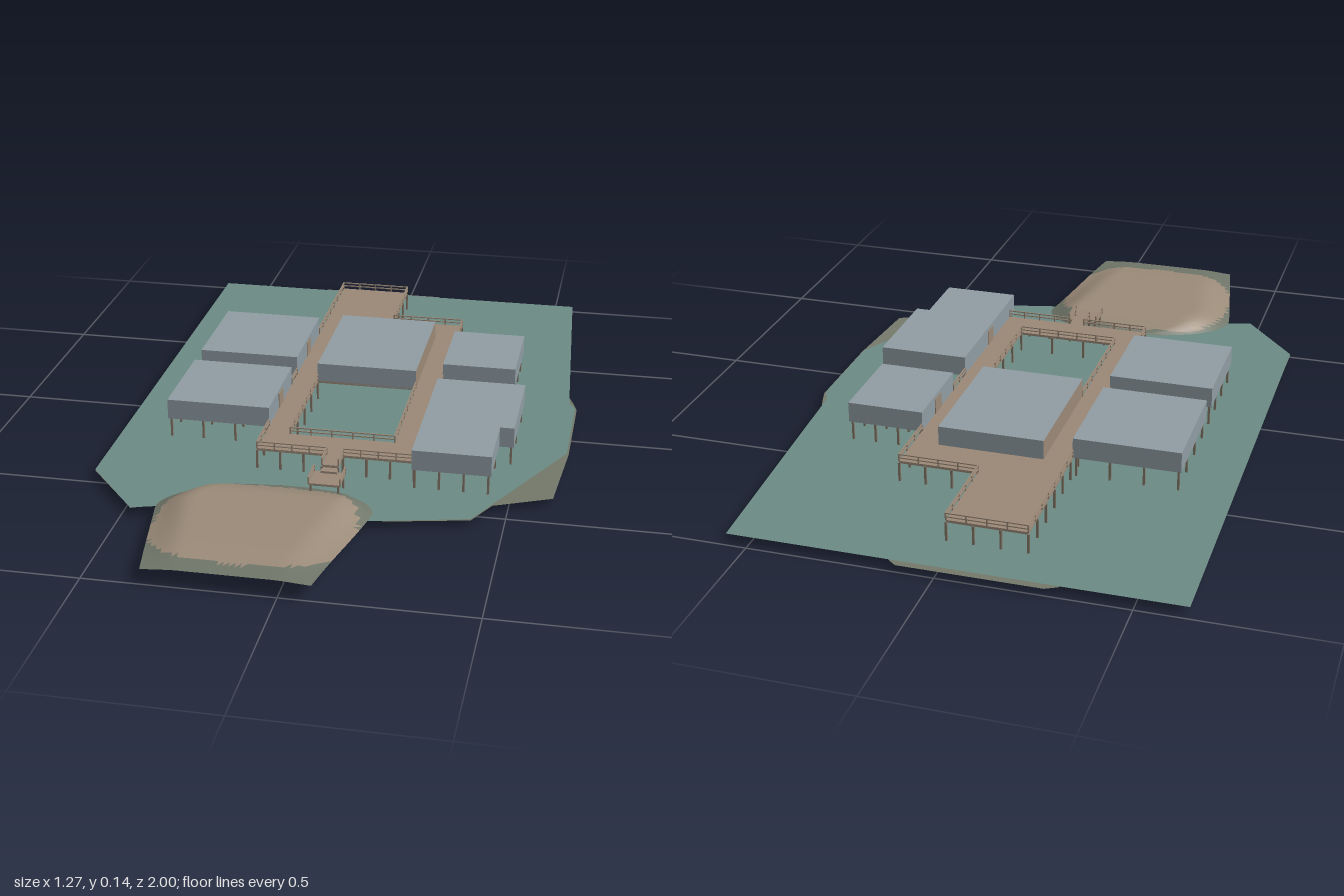
import * as THREE from 'three';
import { mergeGeometries } from 'three/addons/utils/BufferGeometryUtils.js';

const DECK = 0.083, ROOF = 0.138;

const mat = (name, color, extra = {}) => {
  const m = new THREE.MeshStandardMaterial({ color, ...extra });
  m.name = name;
  return m;
};

const outline = pts => new THREE.Shape(pts.map(([x, z]) => new THREE.Vector2(x, z)));

// box given by its min and max corners
const boxGeo = (x0, x1, y0, y1, z0, z1) =>
  new THREE.BoxGeometry(x1 - x0, y1 - y0, z1 - z0)
    .translate((x0 + x1) / 2, (y0 + y1) / 2, (z0 + z1) / 2);

// evenly spaced points along a polyline of [x, z]
function spaced(path, step) {
  const out = [path[0]];
  for (let i = 1; i < path.length; i++) {
    const [ax, az] = path[i - 1], [bx, bz] = path[i];
    const n = Math.max(1, Math.round(Math.hypot(bx - ax, bz - az) / step));
    for (let k = 1; k <= n; k++) out.push([ax + (bx - ax) * k / n, az + (bz - az) * k / n]);
  }
  return out;
}

const post = (x, z, y0, y1, r) => boxGeo(x - r, x + r, y0, y1, z - r, z + r);

// posts and two rails following a path at floor height y
function railing(path, y) {
  const parts = spaced(path, 0.055).map(([x, z]) => post(x, z, y, y + 0.021, 0.002));
  for (let i = 1; i < path.length; i++) {
    const [ax, az] = path[i - 1], [bx, bz] = path[i];
    for (const h of [0.01, 0.02]) {
      parts.push(boxGeo(Math.min(ax, bx) - 0.002, Math.max(ax, bx) + 0.002, y + h - 0.0015, y + h + 0.0015,
        Math.min(az, bz) - 0.002, Math.max(az, bz) + 0.002));
    }
  }
  return parts;
}

export function createModel() {
  const root = new THREE.Group();
  const both = { side: THREE.DoubleSide };
  const water = mat('water', 0x6d8c86, both);
  const seabedMat = mat('silt', 0x757a6c, { ...both, flatShading: true });
  const sand = mat('sand', 0x9c8c7a, both);
  const scrub = mat('scrub', 0x71776a, both);
  const deckWood = mat('deckWood', 0x9c8a78);
  const postWood = mat('postWood', 0x85786a);
  const cladding = mat('greyCladding', 0x919ea5);
  const add = (name, geo, material, parent = root) => {
    const m = new THREE.Mesh(geo, material);
    m.name = name;
    parent.add(m);
    return m;
  };

  // water sheet, cut along the island shore
  add('water', new THREE.ShapeGeometry(outline([
    [-0.635, -0.985], [0.56, -0.985], [0.61, -0.21], [0.63, -0.17], [0.63, 0.13], [0.46, 0.47], [0.415, 0.56],
    [0.14, 0.625], [0.13, 0.58], [0.1, 0.53], [-0.05, 0.5], [-0.22, 0.51], [-0.35, 0.57], [-0.41, 0.645],
    [-0.475, 0.665], [-0.635, 0.47]])).rotateX(Math.PI / 2).translate(0, 0.024, 0), water);

  // shallow dished seabed: rings shrinking to a centre
  const rim = [[-0.31, -0.985], [-0.28, -1], [0.1, -1], [0.12, -0.985], [0.495, -0.56], [0.62, -0.22], [0.635, -0.17],
    [0.635, 0.13], [0.615, 0.4], [0.46, 0.47], [0.415, 0.56], [0.19, 0.61], [0.12, 0.5], [0.05, 0.45], [-0.15, 0.45],
    [-0.3, 0.5], [-0.41, 0.63], [-0.475, 0.66], [-0.635, 0.47], [-0.625, -0.59]];
  const bed = [], bedIndex = [], rings = [1, 0.85, 0.6, 0.3, 0];
  for (const t of rings) for (const [x, z] of rim) {
    const dip = 0.012 * (1 - t * t);
    bed.push(x * t, 0.02 - dip, -0.2 + (z + 0.2) * t);
  }
  for (let r = 0; r < rings.length - 1; r++) for (let i = 0; i < rim.length; i++) {
    const j = (i + 1) % rim.length, a = r * rim.length, b = a + rim.length;
    bedIndex.push(a + i, b + i, a + j);
    if (r < rings.length - 2) bedIndex.push(a + j, b + i, b + j);
  }
  const bedGeo = new THREE.BufferGeometry();
  bedGeo.setAttribute('position', new THREE.Float32BufferAttribute(bed, 3));
  bedGeo.setIndex(bedIndex);
  bedGeo.computeVertexNormals();
  add('seabed', bedGeo, seabedMat);

  // island: height-mapped strip grid, sand in the middle and scrub round it
  const rows = 28, cols = 30, zBack = 0.47;
  const side = (z, zMid, wide, front) => z > zMid
    ? wide + (front - wide) * (z - zMid) / (1 - zMid)
    : -0.06 + (wide + 0.06) * Math.sqrt(Math.max(0.02, 1 - ((zMid - z) / (zMid - zBack)) ** 2));
  const pos = [], sandIndex = [], scrubIndex = [];
  for (let r = 0; r <= rows; r++) for (let c = 0; c <= cols; c++) {
    const z = zBack + (1 - zBack) * r / rows;
    const L = side(z, 0.65, -0.41, -0.345), R = side(z, 0.59, 0.16, 0.085);
    const x = L + (R - L) * c / cols;
    const edge = 0.023 + 0.02 * THREE.MathUtils.smoothstep(z, 0.6, 1);
    const inland = THREE.MathUtils.smoothstep(Math.min(x - L, R - x, (z - zBack) * 0.8), -0.02, 0.1);
    const fall = 0.013 * THREE.MathUtils.smoothstep(z, 0.85, 1);
    pos.push(x, edge + (0.062 - fall - edge) * inland, z);
  }
  const isSand = ids => {
    const x = ids.reduce((s, i) => s + pos[i * 3], 0) / 3, z = ids.reduce((s, i) => s + pos[i * 3 + 2], 0) / 3;
    return Math.abs((x + 0.125) / 0.262) ** 2.8 + Math.abs((z - 0.725) / 0.225) ** 2.8 < 1;
  };
  for (let r = 0; r < rows; r++) for (let c = 0; c < cols; c++) {
    const a = r * (cols + 1) + c, b = a + cols + 1;
    for (const tri of [[a, b, a + 1], [a + 1, b, b + 1]]) (isSand(tri) ? sandIndex : scrubIndex).push(...tri);
  }
  const island = new THREE.BufferGeometry();
  island.setAttribute('position', new THREE.Float32BufferAttribute(pos, 3));
  island.setIndex([...sandIndex, ...scrubIndex]);
  island.addGroup(0, sandIndex.length, 0);
  island.addGroup(sandIndex.length, scrubIndex.length, 1);
  island.computeVertexNormals();
  add('island', island, [sand, scrub]);

  // boardwalk round an open court, with a pier at the back
  const edge = [[-0.2, -0.86], [0.015, -0.86], [0.015, -0.605], [0.235, -0.605], [0.235, 0.375], [0.04, 0.375],
    [0.04, 0.44], [-0.005, 0.44], [-0.005, 0.375], [-0.2, 0.375]];
  const court = [[-0.13, -0.1], [-0.13, 0.27], [0.165, 0.27], [0.165, -0.1]];
  const deck = outline(edge);
  deck.holes.push(outline(court));
  add('boardwalk', new THREE.ExtrudeGeometry(deck, { depth: 0.007, bevelEnabled: false })
    .rotateX(Math.PI / 2).translate(0, DECK, 0), deckWood);

  // steps down to the sand
  add('landingSteps', mergeGeometries([
    boxGeo(-0.005, 0.04, 0.068, 0.074, 0.435, 0.46),
    boxGeo(-0.025, 0.06, 0.06, 0.066, 0.445, 0.52)]), deckWood);

  // railings, left open at buildings and steps
  const runs = [
    [[-0.2, -0.455], [-0.2, -0.86], [0.015, -0.86], [0.015, -0.605], [0.235, -0.605], [0.235, -0.425]],
    [[0.235, -0.165], [0.235, -0.055]], [[0.235, 0.375], [0.04, 0.375], [0.04, 0.44]],
    [[-0.005, 0.44], [-0.005, 0.375], [-0.2, 0.375], [-0.2, 0.23]], [[-0.2, -0.06], [-0.2, -0.135]], court];
  add('railings', mergeGeometries([
    ...runs.flatMap(p => railing(p, DECK)),
    ...[-0.025, 0.06].flatMap(x => railing([[x, 0.445], [x, 0.52]], 0.064))]), deckWood);

  // legs under the boardwalk and landing
  const legs = [...spaced([...edge, edge[0]], 0.075), ...spaced(court, 0.09)]
    .map(([x, z]) => post(x, z, 0.008, 0.078, 0.003));
  for (const x of [-0.02, 0.055]) for (const z of [0.45, 0.515]) legs.push(post(x, z, 0, 0.062, 0.003));
  add('boardwalkLegs', mergeGeometries(legs), postWood);

  // stilt buildings: [x0, x1, z0, z1]
  const stilted = (name, [x0, x1, z0, z1], doorX) => {
    const g = new THREE.Group();
    g.name = name;
    root.add(g);
    add('walls', boxGeo(x0, x1, 0.08, ROOF, z0, z1), cladding, g);
    const stilts = [], i = 0.008;
    for (let a = 0; a < 4; a++) for (let b = 0; b < 4; b++) {
      stilts.push(post(x0 + i + (x1 - x0 - 2 * i) * a / 3, z0 + i + (z1 - z0 - 2 * i) * b / 3, 0.01, 0.08, 0.003));
    }
    add('stilts', mergeGeometries(stilts), postWood, g);
    if (doorX !== undefined) {
      const mid = (z0 + z1) / 2;
      add('door', boxGeo(doorX - 0.002, doorX + 0.002, DECK, 0.128, mid - 0.025, mid + 0.025), deckWood, g);
    }
  };
  stilted('rightBackBuilding', [-0.495, -0.2, -0.455, -0.135], -0.2);
  stilted('rightFrontBuilding', [-0.495, -0.2, -0.06, 0.23], -0.2);
  stilted('leftBackBuilding', [0.235, 0.45, -0.425, -0.165], 0.235);
  stilted('leftFrontBuilding', [0.235, 0.45, -0.06, 0.42], 0.235);
  add('leftFrontAnnex', boxGeo(0.45, 0.49, 0.08, ROOF, -0.06, 0.235), cladding);
  add('annexStilts', mergeGeometries([-0.05, 0.09, 0.225].map(z => post(0.482, z, 0.01, 0.08, 0.003))), postWood);

  // central hall with timber side walls
  add('centralHall', boxGeo(-0.13, 0.165, 0.078, ROOF, -0.49, -0.1),
    [deckWood, deckWood, cladding, cladding, cladding, cladding]);
  return root;
}
